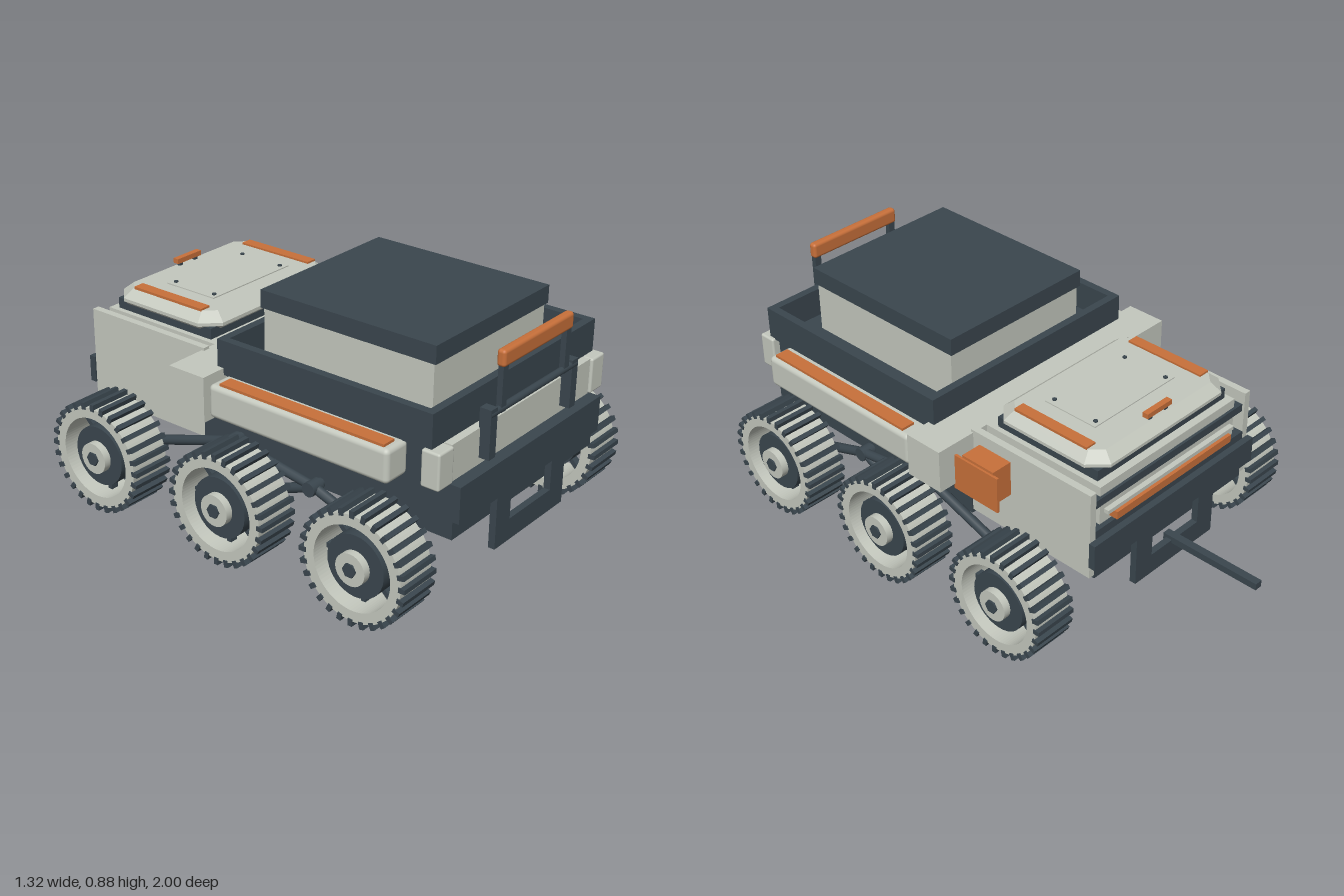
import * as THREE from 'three';
import { RoundedBoxGeometry } from 'three/addons/geometries/RoundedBoxGeometry.js';

const mat = (color) => new THREE.MeshStandardMaterial({ color });
const light = mat(0xc4c8be), dark = mat(0x3a464e), orange = mat(0xc8703a);

function add(parent, name, geometry, material) {
  const mesh = new THREE.Mesh(geometry, material);
  mesh.name = name;
  parent.add(mesh);
  return mesh;
}

// Box given by its extents; r > 0 rounds the edges
function box(parent, name, material, [x0, x1], [y0, y1], [z0, z1], r = 0) {
  const s = [x1 - x0, y1 - y0, z1 - z0];
  const g = r ? new RoundedBoxGeometry(...s, 3, r) : new THREE.BoxGeometry(...s);
  const mesh = add(parent, name, g, material);
  mesh.position.set((x0 + x1) / 2, (y0 + y1) / 2, (z0 + z1) / 2);
  return mesh;
}

// Cylinder lying along x
function axial(parent, name, material, r, x0, x1, sides = 32) {
  const g = new THREE.CylinderGeometry(r, r, x1 - x0, sides).rotateZ(-Math.PI / 2);
  g.translate((x0 + x1) / 2, 0, 0);
  return add(parent, name, g, material);
}

// Round bar between two points
function bar(parent, name, material, a, b, r) {
  const path = new THREE.LineCurve3(new THREE.Vector3(...a), new THREE.Vector3(...b));
  return add(parent, name, new THREE.TubeGeometry(path, 1, r, 12), material);
}

// Wheel centred on its axle, outer side facing +x
function createWheel() {
  const wheel = new THREE.Group();
  wheel.name = 'wheel';
  const ring = new THREE.Shape().absarc(0, 0, 0.192, 0, Math.PI * 2);
  ring.holes.push(new THREE.Path().absarc(0, 0, 0.152, 0, Math.PI * 2, true));
  const tyre = new THREE.ExtrudeGeometry(ring, { depth: 0.16, bevelEnabled: false, curveSegments: 40 });
  add(wheel, 'tyre', tyre.rotateY(Math.PI / 2).translate(-0.08, 0, 0), light);
  const treads = 28;
  for (let i = 0; i < treads; i++) {
    const g = new THREE.BoxGeometry(0.168, 0.026, 0.017).translate(0, 0.197, 0);
    add(wheel, 'tread', g.rotateX((i / treads) * Math.PI * 2), dark);
  }
  for (let i = 0; i < 8; i++) {
    const g = new THREE.BoxGeometry(0.03, 0.075, 0.018).translate(0, 0.125, 0);
    add(wheel, 'spoke', g.rotateX((i / 8) * Math.PI * 2), dark);
  }
  axial(wheel, 'wheelDisc', dark, 0.112, -0.045, 0.06);
  axial(wheel, 'hub', light, 0.058, -0.06, 0.088);
  axial(wheel, 'hubNut', dark, 0.026, 0.07, 0.095, 6);
  return wheel;
}

// Plate with a U-shaped step below it
function createBumper(name, z, top) {
  const s = new THREE.Shape([[-0.42, top], [-0.42, 0.36], [-0.205, 0.36], [-0.205, 0.17],
    [0.205, 0.17], [0.205, 0.36], [0.42, 0.36], [0.42, top]].map((p) => new THREE.Vector2(...p)));
  s.holes.push(new THREE.Path([[-0.123, 0.25], [0.123, 0.25], [0.123, 0.36], [-0.123, 0.36]]
    .map((p) => new THREE.Vector2(...p))));
  const mesh = new THREE.Mesh(new THREE.ExtrudeGeometry(s, { depth: 0.025, bevelEnabled: false }), dark);
  mesh.name = name;
  mesh.position.z = z;
  return mesh;
}

export function createModel() {
  const model = new THREE.Group();
  model.name = 'rover';

  // Hull and bumpers
  box(model, 'chassis', dark, [-0.42, 0.42], [0.295, 0.49], [-0.07, 0.975]);
  box(model, 'rearChassis', dark, [-0.39, 0.39], [0.295, 0.49], [-0.612, -0.07]);
  model.add(createBumper('frontBumper', 0.975, 0.49), createBumper('rearBumper', -0.638, 0.46));
  box(model, 'crossBand', light, [-0.575, 0.575], [0.475, 0.64], [-0.08, 0.075]);
  box(model, 'nosePanel', light, [-0.41, 0.41], [0.485, 0.62], [0.9, 0.955]);

  // Open cargo tray with a lidded crate
  box(model, 'trayBase', dark, [-0.46, 0.46], [0.485, 0.63], [0.055, 0.91]);
  box(model, 'trayFront', dark, [-0.475, 0.475], [0.615, 0.74], [0.895, 0.925]);
  box(model, 'trayBack', dark, [-0.475, 0.475], [0.615, 0.74], [0.048, 0.078]);
  box(model, 'crate', light, [-0.318, 0.318], [0.62, 0.825], [0.12, 0.815]);
  box(model, 'crateLid', dark, [-0.325, 0.325], [0.82, 0.885], [0.11, 0.825]);

  // Rear deck with a raised hatch
  box(model, 'rearBody', light, [-0.35, 0.35], [0.48, 0.64], [-0.595, -0.08]);
  box(model, 'rearTrim', dark, [-0.385, 0.385], [0.575, 0.605], [-0.605, -0.08]);
  box(model, 'rearLightStrip', orange, [-0.3, 0.3], [0.5, 0.53], [-0.628, -0.59]);
  box(model, 'rearLightCover', light, [-0.33, 0.33], [0.53, 0.545], [-0.615, -0.59]);
  box(model, 'hatchSeal', dark, [-0.33, 0.33], [0.63, 0.68], [-0.565, -0.115]);
  const w = 0.31, d = 0.205, c = 0.04;
  const outline = new THREE.Shape([[-w, -d + c], [-w + c, -d], [w - c, -d], [w, -d + c],
    [w, d - c], [w - c, d], [-w + c, d], [-w, d - c]].map((p) => new THREE.Vector2(...p)));
  const hatch = add(model, 'hatch', new THREE.ExtrudeGeometry(outline, {
    depth: 0.012, bevelThickness: 0.032, bevelSize: 0.038, bevelSegments: 1,
  }).rotateX(-Math.PI / 2), light);
  hatch.position.set(0, 0.682, -0.34);
  box(model, 'hatchPlate', light, [-0.205, 0.205], [0.72, 0.73], [-0.44, -0.215]);
  for (const x of [-0.18, 0.18]) for (const z of [-0.42, -0.235]) {
    add(model, 'hatchBolt', new THREE.CylinderGeometry(0.008, 0.008, 0.012, 10), dark).position.set(x, 0.729, z);
  }
  box(model, 'hatchStripRight', orange, [-0.313, -0.27], [0.715, 0.733], [-0.5, -0.175]);
  box(model, 'hatchStripLeft', orange, [0.27, 0.313], [0.715, 0.733], [-0.5, -0.175]);
  box(model, 'hatchHandle', orange, [-0.062, 0.062], [0.738, 0.757], [-0.545, -0.522]);
  for (const x of [-0.04, 0.04]) {
    box(model, 'handlePost', dark, [x - 0.008, x + 0.008], [0.72, 0.74], [-0.54, -0.527]);
  }

  // Side equipment case, only on the left
  box(model, 'sideCase', orange, [0.41, 0.497], [0.47, 0.605], [-0.255, -0.11]);
  box(model, 'sideCasePlate', orange, [0.495, 0.505], [0.455, 0.595], [-0.28, -0.075]);

  // Tow bar
  box(model, 'towBar', dark, [-0.015, 0.015], [0.237, 0.263], [-1, -0.6]);

  // Front light bar on its frame
  box(model, 'lightBar', orange, [-0.205, 0.205], [0.815, 0.875], [0.965, 0.998], 0.012);
  bar(model, 'frameCrossbar', dark, [-0.255, 0.67, 0.982], [0.255, 0.67, 0.982], 0.013);

  for (const s of [-1, 1]) {
    const span = (a, b) => (s > 0 ? [a, b] : [-b, -a]);
    box(model, 'noseCorner', light, span(0.41, 0.49), [0.49, 0.62], [0.895, 0.965], 0.008);
    box(model, 'lightPost', dark, span(0.172, 0.2), [0.66, 0.82], [0.972, 0.992]);
    box(model, 'frameBracket', dark, span(0.222, 0.258), [0.515, 0.69], [0.95, 0.993]);
    box(model, 'traySide', dark, span(0.445, 0.475), [0.615, 0.74], [0.05, 0.92]);
    box(model, 'rearWall', light, span(0.388, 0.415), [0.31, 0.65], [-0.612, -0.07]);
    box(model, 'sidePod', light, span(0.455, 0.565), [0.495, 0.617], [0.085, 0.825], 0.018);
    box(model, 'podStrip', orange, span(0.497, 0.55), [0.61, 0.626], [0.125, 0.8]);

    // Suspension arms joining the three axles
    const x = 0.458 * s;
    const points = { front: [x, 0.21, 0.755], knee: [x, 0.315, 0.45], middle: [x, 0.21, 0.18],
      pivot: [x, 0.37, 0.1], rear: [x, 0.21, -0.395] };
    for (const [a, b] of [['front', 'knee'], ['knee', 'middle'], ['knee', 'pivot'], ['pivot', 'rear']]) {
      bar(model, 'suspensionArm', dark, points[a], points[b], 0.018);
    }
    for (const key of ['knee', 'pivot']) {
      const [, y, z] = points[key];
      const p = axial(model, 'suspensionPivot', dark, 0.026, -0.03, 0.022, 16);
      p.position.set(x, y, z);
      bar(model, 'pivotShaft', dark, [0.4 * s, y, z], points[key], 0.018);
    }

    // Wheels and axles
    for (const z of [0.755, 0.18, -0.395]) {
      const wheel = createWheel();
      wheel.position.set(0.565 * s, 0.21, z);
      if (s < 0) wheel.rotation.y = Math.PI;
      model.add(wheel);
      const axle = axial(model, 'axle', dark, 0.03, -0.06, 0.06, 16);
      axle.position.set(0.5 * s, 0.21, z);
    }
  }
  return model;
}
